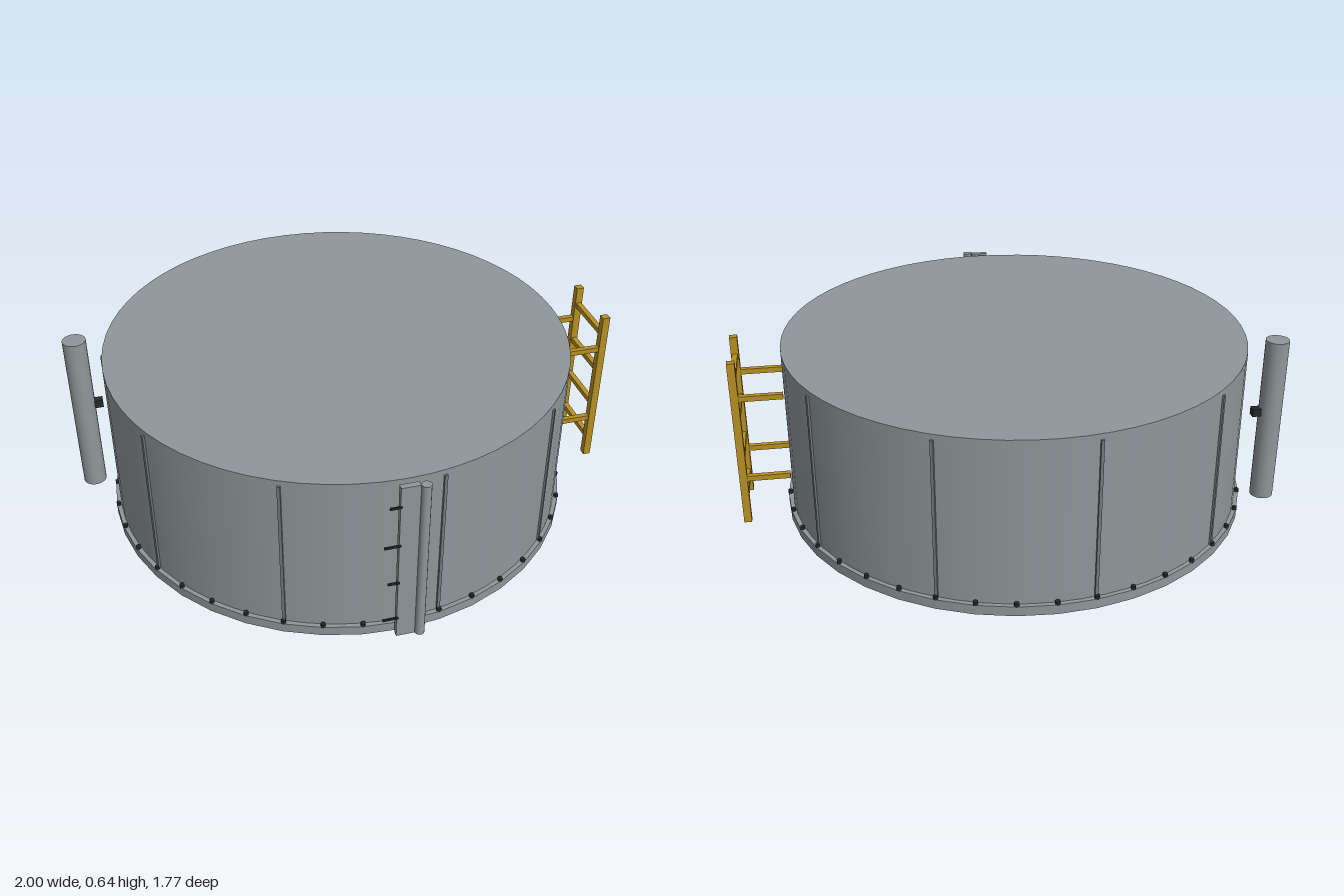
import * as THREE from 'three';

const CX = -0.03, CZ = -0.021; // tank axis
const H = 0.64;                // overall height

export function createModel() {
  const model = new THREE.Group();
  const material = (name, color) => {
    const m = new THREE.MeshStandardMaterial({ color });
    m.name = name;
    return m;
  };
  const steel = material('steel grey', 0x8f979a);
  const seam = material('seam grey', 0x737b7e);
  const yellow = material('safety yellow', 0xb88f22);
  const dark = material('dark fittings', 0x25282a);

  const add = (name, geometry, mat, x, y, z, parent = model) => {
    const mesh = new THREE.Mesh(geometry, mat);
    mesh.name = name;
    mesh.position.set(x, y, z);
    parent.add(mesh);
    return mesh;
  };
  const box = (w, h, d) => new THREE.BoxGeometry(w, h, d);
  const rod = (r, h, n = 24) => new THREE.CylinderGeometry(r, r, h, n);
  const group = (name) => {
    const g = new THREE.Group();
    g.name = name;
    model.add(g);
    return g;
  };

  // Tank shell with flat roof, standing on a base flange
  add('tankShell', rod(0.846, H - 0.002, 64), steel, CX, H / 2 + 0.001, CZ);
  add('baseFlange', rod(0.863, 0.036, 40), steel, CX, 0.018, CZ);

  // Bolt heads around the flange
  const bolts = group('flangeBolts');
  const boltGeometry = rod(0.009, 0.014, 6);
  for (let i = 0; i < 40; i++) {
    const a = i * Math.PI / 20;
    add('bolt', boltGeometry, dark, CX + 0.856 * Math.sin(a), 0.041, CZ + 0.856 * Math.cos(a), bolts);
  }

  // Vertical seams on the shell
  const seams = group('shellSeams');
  const seamGeometry = box(0.011, 0.585, 0.012);
  for (let i = 0; i < 10; i++) {
    const a = (9 + 36 * i) * Math.PI / 180;
    const s = add('seam', seamGeometry, seam, CX + 0.847 * Math.sin(a), 0.3275, CZ + 0.847 * Math.cos(a), seams);
    s.rotation.y = a;
  }

  // Level gauge: board, sight tube and tick marks
  const gauge = group('levelGauge');
  add('gaugeBoard', box(0.065, H, 0.02), steel, -0.028, H / 2, 0.858, gauge);
  add('sightTube', rod(0.017, H, 16), steel, 0.022, H / 2, 0.867, gauge);
  [0.085, 0.245, 0.405, 0.565].forEach((y, i) => {
    const length = i % 2 ? 0.04 : 0.055;
    add('tickMark', box(length, 0.008, 0.006), dark, -0.055 - length / 2, y, 0.868, gauge);
  });

  // Ladder with two standoffs per rail
  const ladder = group('ladder');
  for (const z of [-0.136, 0.098]) {
    add('ladderRail', box(0.028, H, 0.028), yellow, 0.984, H / 2, z, ladder);
    for (const y of [0.18, 0.5])
      add('ladderStandoff', box(0.165, 0.02, 0.02), yellow, 0.8975, y, z, ladder);
  }
  for (const y of [0.085, 0.245, 0.405, 0.565])
    add('ladderRung', box(0.02, 0.02, 0.234), yellow, 0.984, y, -0.019, ladder);

  // Standpipe and its bracket
  add('standpipe', rod(0.043, H, 32), steel, -0.957, H / 2, -0.255);
  add('pipeBracket', box(0.05, 0.03, 0.03), dark, -0.91, 0.355, -0.255);

  return model;
}
